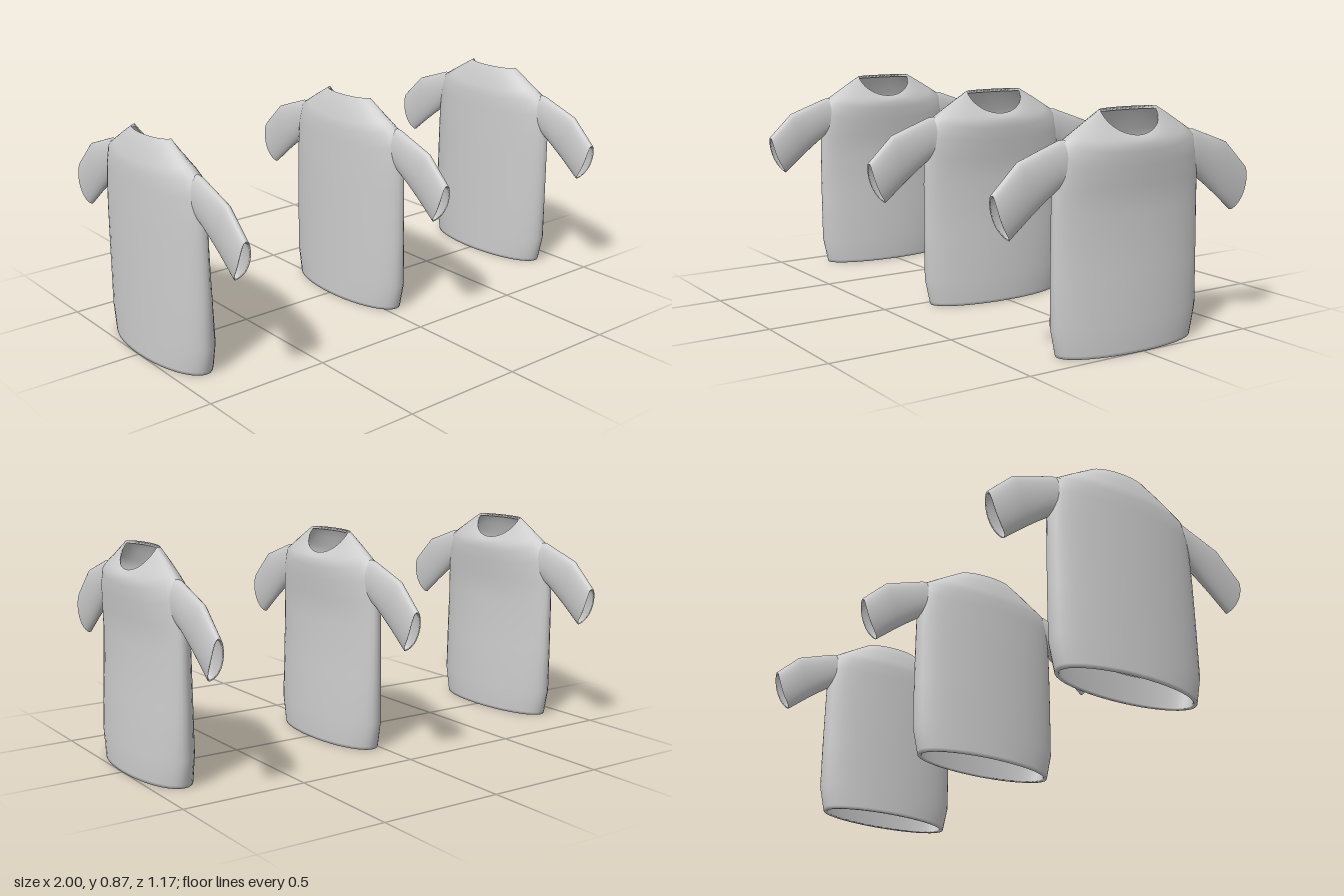
import * as THREE from 'three';

const SIDES = 40;
const material = new THREE.MeshStandardMaterial({ color: 0xcccccc, side: THREE.DoubleSide });

// Skin a list of closed rings (each an array of SIDES points) smoothly
function loft(rings, name) {
  const index = [];
  for (let i = 0; i < rings.length - 1; i++) {
    for (let j = 0; j < SIDES; j++) {
      const k = (j + 1) % SIDES;
      const a = i * SIDES + j, b = i * SIDES + k;
      const c = b + SIDES, d = a + SIDES;
      index.push(a, d, b, b, d, c);
    }
  }
  const geometry = new THREE.BufferGeometry().setFromPoints(rings.flat());
  geometry.setIndex(index);
  geometry.computeVertexNormals();
  const mesh = new THREE.Mesh(geometry, material);
  mesh.name = name;
  return mesh;
}

function ring(pointAt) {
  return Array.from({ length: SIDES }, (_, j) => pointAt((j / SIDES) * Math.PI * 2));
}

// Oval torso ring: half width, front and back reach, heights at side, front and back
function torsoRing([halfWidth, front, back, ySide, yFront = ySide, yBack = ySide]) {
  return ring((t) => {
    const c = Math.cos(t), s = Math.sin(t);
    const x = c > 0 ? c * front : c * back;
    const y = ySide + (c > 0 ? (yFront - ySide) * c : (yBack - ySide) * -c);
    return new THREE.Vector3(x, y, s * halfWidth);
  });
}

// Flat oval sleeve ring between a top and a bottom point (z, y), bowed outward
function sleeveRing([zTop, yTop, zBottom, yBottom, thickness, bow = 0]) {
  return ring((t) => {
    const c = Math.cos(t), s = Math.sin(t);
    const z = (zTop + zBottom) / 2 + (s * (zBottom - zTop)) / 2 + bow * c * c;
    const y = (yTop + yBottom) / 2 + (s * (yBottom - yTop)) / 2 - bow * c * c;
    return new THREE.Vector3(c * thickness, y, z);
  });
}

function createShirt() {
  const shirt = new THREE.Group();

  // Torso from the inner hem fold, around the hem, up to the shoulders and neckline
  shirt.add(loft([
    [0.312, 0.094, 0.097, 0.11],
    [0.288, 0.094, 0.098, 0.004],
    [0.292, 0.097, 0.101, 0],
    [0.305, 0.108, 0.112, 0],
    [0.308, 0.109, 0.112, 0.012],
    [0.33, 0.108, 0.110, 0.11],
    [0.332, 0.091, 0.105, 0.3],
    [0.332, 0.073, 0.100, 0.5],
    [0.330, 0.079, 0.096, 0.6],
    [0.322, 0.086, 0.093, 0.7, 0.67, 0.68],
    [0.302, 0.088, 0.091, 0.766, 0.72, 0.735],
    [0.25, 0.086, 0.084, 0.797, 0.745, 0.77],
    [0.19, 0.078, 0.066, 0.832, 0.76, 0.82],
    [0.13, 0.063, 0.047, 0.865, 0.775, 0.865],
    [0.127, 0.060, 0.044, 0.855, 0.768, 0.853],
  ].map(torsoRing), 'torso'));

  // Short sleeve with a folded cuff, mirrored to the other side
  const sleeveRings = [
    [0.28, 0.772, 0.30, 0.60, 0.034],
    [0.31, 0.77, 0.33, 0.59, 0.033],
    [0.39, 0.742, 0.378, 0.555, 0.031],
    [0.48, 0.71, 0.43, 0.515, 0.030],
    [0.585, 0.61, 0.515, 0.445, 0.027, 0.012],
    [0.578, 0.6, 0.514, 0.452, 0.020, 0.012],
    [0.47, 0.69, 0.43, 0.53, 0.022],
  ].map(sleeveRing);
  for (const side of [1, -1]) {
    const sleeve = loft(sleeveRings, side > 0 ? 'leftSleeve' : 'rightSleeve');
    sleeve.scale.z = side;
    shirt.add(sleeve);
  }
  return shirt;
}

export function createModel() {
  const model = new THREE.Group();
  model.name = 'shirts';
  // Row of three identical shirts
  [-0.888, 0.043, 0.892].forEach((x, i) => {
    const shirt = createShirt();
    shirt.name = `shirt${i + 1}`;
    shirt.position.x = x;
    model.add(shirt);
  });
  return model;
}
